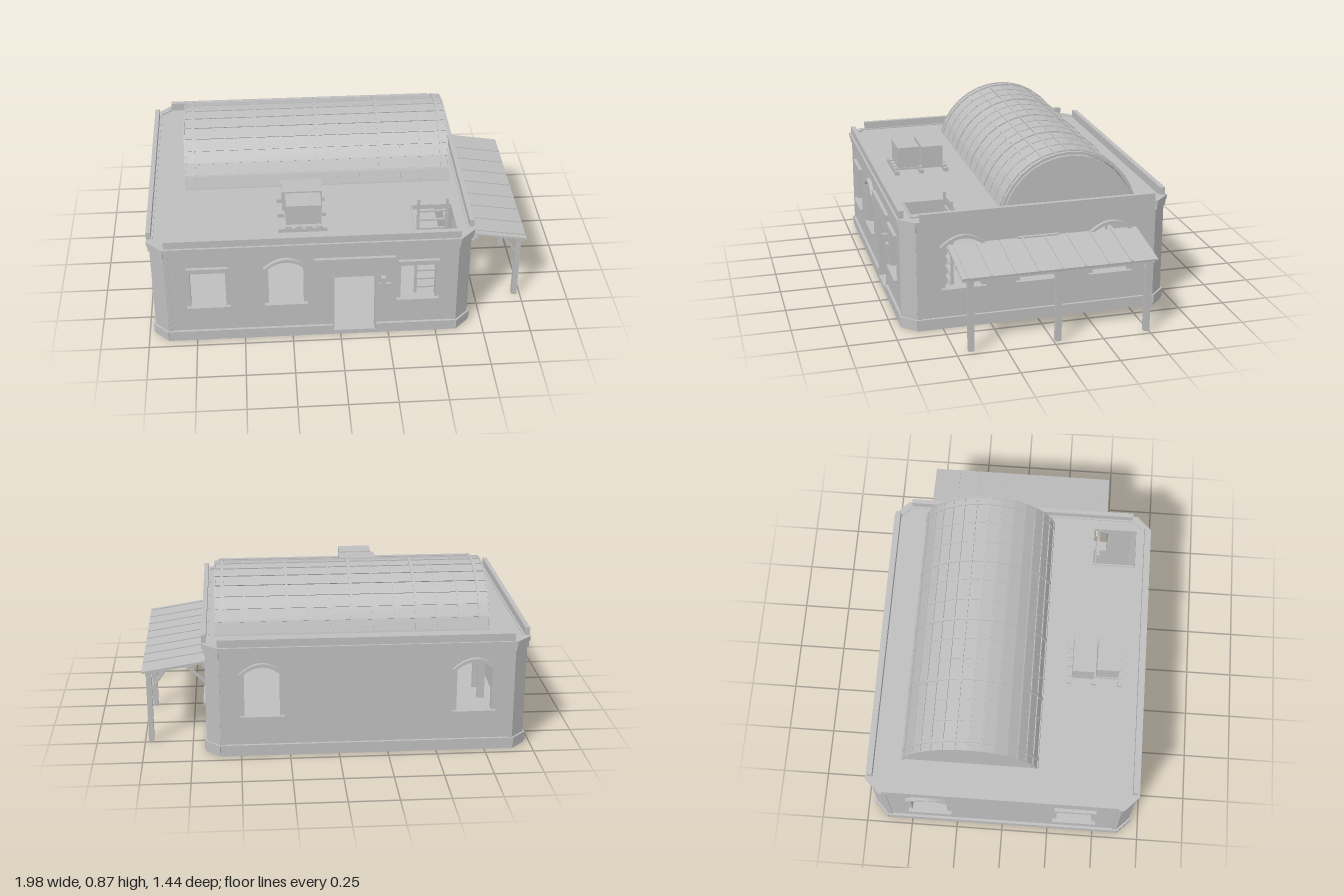
import * as THREE from 'three';

const CX = -0.145, HX = 0.82, HZ = 0.70, CH = 0.07; // body centre, half sizes, corner cut

export function createModel() {
  const root = new THREE.Group();
  root.name = 'building';
  const grey = new THREE.MeshStandardMaterial({ color: 0xbebebe, side: THREE.DoubleSide });
  grey.name = 'plain grey';

  function group(name, parent = root) {
    const g = new THREE.Group();
    g.name = name;
    parent.add(g);
    return g;
  }
  function mesh(name, geo, parent) {
    const m = new THREE.Mesh(geo, grey);
    m.name = name;
    parent.add(m);
    return m;
  }
  // box given by its limits on each axis
  function box(name, parent, x0, x1, y0, y1, z0, z1) {
    const m = mesh(name, new THREE.BoxGeometry(x1 - x0, y1 - y0, z1 - z0), parent);
    m.position.set((x0 + x1) / 2, (y0 + y1) / 2, (z0 + z1) / 2);
    return m;
  }
  // square bar between two points
  function bar(name, parent, a, b, w, h = w) {
    const A = new THREE.Vector3(...a), B = new THREE.Vector3(...b);
    const m = mesh(name, new THREE.BoxGeometry(w, h, A.distanceTo(B)), parent);
    m.position.copy(A).lerp(B, 0.5);
    m.lookAt(B);
    return m;
  }
  // plan of the body with cut corners, grown by e
  function plan(e) {
    const x = HX + e, z = HZ + e, c = CH + e * 0.5;
    const pts = [[-x + c, -z], [x - c, -z], [x, -z + c], [x, z - c], [x - c, z], [-x + c, z], [-x, z - c], [-x, -z + c]];
    return pts.map(([a, b]) => new THREE.Vector2(a + CX, b));
  }
  function slab(name, e, y0, y1, hole, parent) {
    const s = new THREE.Shape(plan(e));
    if (hole) s.holes.push(new THREE.Path(hole));
    const geo = new THREE.ExtrudeGeometry(s, { depth: y1 - y0, bevelEnabled: false });
    geo.rotateX(-Math.PI / 2);
    geo.translate(0, y0, 0);
    return mesh(name, geo, parent);
  }
  const rect = (x0, x1, y0, y1) => [[x0, y0], [x1, y0], [x1, y1], [x0, y1]].map(p => new THREE.Vector2(...p));

  // shell: floor, roof with hatch opening, plinth and cornice rings
  const shell = group('shell');
  slab('floor', 0.005, 0, 0.025, null, shell);
  slab('roof', 0, 0.565, 0.585, rect(0.39, 0.60, -0.635, -0.40), shell);
  slab('topBand', 0.004, 0.535, 0.565, plan(-0.03), shell);
  slab('cornice', 0.014, 0.566, 0.59, plan(-0.02), shell);

  // wall opening outline, with a shallow arch when asked
  function opening(o) {
    const p = new THREE.Path();
    p.moveTo(o.u - o.w, o.y0);
    p.lineTo(o.u + o.w, o.y0);
    p.lineTo(o.u + o.w, o.y1);
    if (o.arch) p.quadraticCurveTo(o.u, o.y1 + 0.075, o.u - o.w, o.y1);
    else p.lineTo(o.u - o.w, o.y1);
    p.closePath();
    return p;
  }
  function wall(name, half, dist, angle, openings) {
    const pivot = group(name);
    pivot.position.set(CX, 0, 0);
    pivot.rotation.y = angle;
    const g = group(name + 'Parts', pivot);
    g.position.z = dist;
    const s = new THREE.Shape(rect(-half, half, 0.02, 0.566));
    openings.forEach(o => s.holes.push(opening(o)));
    const geo = new THREE.ExtrudeGeometry(s, { depth: 0.034, bevelEnabled: false, curveSegments: 10 });
    geo.translate(0, 0, -0.04);
    mesh('wallPanel', geo, g);
    for (const k of [-1, 1]) {
      const a = k * half, b = k * (half - 0.022);
      box('edgeStrip', g, Math.min(a, b), Math.max(a, b), 0.06, 0.536, -0.02, 0);
    }
    // plinth, broken at a door
    const door = openings.find(o => o.door);
    const runs = door ? [[-half, door.u - door.w], [door.u + door.w, half]] : [[-half, half]];
    runs.forEach(([a, b]) => box('plinth', g, a, b, 0.012, 0.06, -0.02, 0.008));
    // trims
    for (const o of openings) {
      const { u, w, y0, y1 } = o;
      if (o.door) {
        for (const k of [-1, 1]) box('doorJamb', g, u + k * w - 0.006, u + k * w + 0.006, 0.025, y1, -0.045, 0.002);
        box('doorHead', g, u - w, u + w, y1 - 0.01, y1 + 0.008, -0.045, 0.002);
        continue;
      }
      box('windowSill', g, u - w - 0.016, u + w + 0.016, y0 - 0.016, y0, -0.04, 0.016);
      for (const k of [-1, 1]) box('windowJamb', g, u + k * w - 0.005, u + k * w + 0.005, y0, y1, -0.045, -0.002);
      if (o.arch) {
        const h = new THREE.Shape(), a = w + 0.02;
        h.moveTo(u - a, y1 - 0.005);
        h.quadraticCurveTo(u, y1 + 0.11, u + a, y1 - 0.005);
        h.lineTo(u + w, y1 - 0.005);
        h.quadraticCurveTo(u, y1 + 0.075, u - w, y1 - 0.005);
        const hg = new THREE.ExtrudeGeometry(h, { depth: 0.02, bevelEnabled: false, curveSegments: 10 });
        hg.translate(0, 0, -0.006);
        mesh('windowArch', hg, g);
      } else box('windowHead', g, u - w - 0.01, u + w + 0.01, y1, y1 + 0.026, -0.04, 0.012);
    }
    return g;
  }
  const win = (u, arch, w = 0.095) => ({ u, w, y0: 0.218, y1: arch ? 0.45 : 0.434, arch });
  const front = wall('frontWall', HX - CH, HZ, 0, [
    win(-0.68 - CX, false), win(-0.28 - CX, true), win(0.40 - CX, false),
    { u: 0.0725 - CX, w: 0.112, y0: 0.025, y1: 0.38, door: true },
  ]);
  wall('backWall', HX - CH, HZ, Math.PI, [win(CX + 0.69, true), win(CX - 0.39, true)]);
  wall('leftWall', HZ - CH, HX, Math.PI / 2, [win(-0.39, true, 0.1), win(0, false, 0.1), win(0.39, true, 0.1)]);
  wall('rightWall', HZ - CH, HX, -Math.PI / 2, [win(-0.39, true, 0.1), win(0.39, false, 0.1)]);

  // sign board and small fittings beside the door
  const u = x => x - CX;
  box('signBoard', front, u(-0.137), u(0.28), 0.405, 0.49, -0.01, 0.012);
  box('signBacking', front, u(-0.11), u(0.275), 0.39, 0.42, -0.01, 0.006);
  box('doorLamp', front, u(0.205), u(0.23), 0.33, 0.365, -0.01, 0.022);
  box('doorPlate', front, u(0.20), u(0.26), 0.25, 0.32, -0.01, 0.008);
  box('doorBracket', front, u(0.21), u(0.222), 0.32, 0.33, -0.01, 0.012);

  // cut corners with pilaster and foot, parapets along each side
  for (const sx of [-1, 1]) for (const sz of [-1, 1]) {
    const g = group('cornerPilaster');
    g.position.set(CX + sx * (HX - CH / 2), 0, sz * (HZ - CH / 2));
    g.rotation.y = Math.atan2(sx, sz);
    box('cornerFace', g, -0.05, 0.05, 0.02, 0.566, -0.035, 0);
    box('cornerFoot', g, -0.055, 0.055, 0.012, 0.06, -0.03, 0.01);
    box('cornerCap', g, -0.054, 0.054, 0.535, 0.567, -0.03, 0.008);
  }
  for (const s of [-1, 1]) {
    const z = s * 0.69, x = CX + s * 0.822;
    box('longParapet', root, -0.89, 0.61, 0.58, 0.63, z - 0.013, z + 0.013);
    box('shortParapet', root, x - 0.012, x + 0.012, 0.58, 0.63, -0.62, 0.61);
  }

  // barrel-vaulted skylight
  const sky = group('skylight');
  sky.position.set(0, 0.50, -0.178);
  const A = 1.31, SEG = 14;
  function arcBand(name, r0, r1, x0, x1, parent = sky) {
    const s = new THREE.Shape();
    const P = (r, i) => { const t = -A + 2 * A * i / SEG; return [r * Math.sin(t), r * Math.cos(t)]; };
    s.moveTo(...P(r1, 0));
    for (let i = 1; i <= SEG; i++) s.lineTo(...P(r1, i));
    if (r0 > 0) for (let i = SEG; i >= 0; i--) s.lineTo(...P(r0, i));
    s.closePath();
    const geo = new THREE.ExtrudeGeometry(s, { depth: x1 - x0, bevelEnabled: false });
    geo.rotateY(Math.PI / 2);
    geo.translate(x0, 0, 0);
    return mesh(name, geo, parent);
  }
  arcBand('vaultPanes', 0.359, 0.364, -0.79, 0.62);
  arcBand('endWall', 0, 0.347, -0.785, -0.765);
  arcBand('endWall', 0, 0.347, 0.595, 0.615);
  for (let i = 0; i < 5; i++) {
    const x = -0.74 + i * 0.33;
    arcBand('mainRib', 0.354, 0.371, x - 0.007, x + 0.007);
    if (i < 4) for (const k of [1, 2]) arcBand('thinRib', 0.357, 0.368, x + k * 0.11 - 0.003, x + k * 0.11 + 0.003);
  }
  for (const x of [-0.79, 0.614]) arcBand('endRib', 0.355, 0.369, x, x + 0.006);
  for (let i = 0; i <= SEG; i++) {
    const t = -A + 2 * A * i / SEG;
    const b = mesh('glazingBar', new THREE.BoxGeometry(1.41, 0.010, 0.008), sky);
    b.position.set(-0.085, 0.364 * Math.cos(t), 0.364 * Math.sin(t));
    b.rotation.x = t;
  }

  // crates on a pallet
  const crates = group('roofCrates');
  for (const z of [0.31, 0.445, 0.58]) box('palletRunner', crates, -0.31, -0.06, 0.585, 0.607, z - 0.012, z + 0.012);
  for (let i = 0; i < 4; i++) box('palletSlat', crates, -0.275 + i * 0.052, -0.24 + i * 0.052, 0.607, 0.617, 0.30, 0.59);
  box('rearCrate', crates, -0.285, -0.08, 0.617, 0.73, 0.325, 0.44);
  box('frontCrate', crates, -0.27, -0.09, 0.617, 0.73, 0.452, 0.57);

  // roof hatch kerb and ladder
  const hatch = group('roofHatch');
  for (const z of [0.398, 0.637]) box('hatchKerb', hatch, 0.385, 0.605, 0.575, 0.592, z - 0.004, z + 0.004);
  for (const x of [0.388, 0.602]) box('hatchKerb', hatch, x - 0.004, x + 0.004, 0.575, 0.592, 0.40, 0.635);
  for (const x of [0.425, 0.575]) box('ladderRail', hatch, x - 0.007, x + 0.007, 0.025, 0.645, 0.42, 0.434);
  for (let i = 0; i < 10; i++) box('ladderRung', hatch, 0.425, 0.575, 0.07 + i * 0.055, 0.08 + i * 0.055, 0.422, 0.432);

  // side canopy on posts
  const canopy = group('canopy');
  const roofY = x => 0.447 - (x - 0.69) * 0.16;
  const z0 = -0.525, z1 = 0.475;
  const sheet = bar('canopySheet', canopy, [0.675, roofY(0.675), -0.025], [1.0, roofY(1), -0.025], z1 - z0, 0.01);
  sheet.name = 'canopySheet';
  for (let i = 0; i < 8; i++) {
    const z = -0.39 + i * 0.119;
    bar('canopyBatten', canopy, [0.68, roofY(0.68) + 0.005, z], [1.0, roofY(1) + 0.005, z], i % 2 ? 0.005 : 0.012, 0.01);
  }
  box('edgeBeam', canopy, 0.953, 0.983, 0.375, 0.396, z0 + 0.01, z1 - 0.01);
  box('wallBeam', canopy, 0.672, 0.692, 0.415, 0.44, z0 + 0.01, z1 - 0.01);
  for (const z of [0.425, -0.02, -0.485]) {
    box('canopyPost', canopy, 0.953, 0.981, 0.005, 0.385, z - 0.015, z + 0.015);
    bar('rafter', canopy, [0.68, roofY(0.68) - 0.012, z], [0.985, roofY(0.985) - 0.012, z], 0.018, 0.016);
    bar('outerBrace', canopy, [0.875, 0.405, z], [0.962, 0.285, z], 0.014);
    bar('innerBrace', canopy, [0.675, 0.325, z], [0.775, 0.42, z], 0.014);
  }

  // furniture seen through the openings
  const inside = group('furniture');
  box('cabinet', inside, -0.355, -0.19, 0.025, 0.35, -0.62, -0.5);
  box('bench', inside, -0.34, -0.2, 0.2, 0.235, -0.5, -0.42);
  box('washstandTop', inside, -0.06, 0.07, 0.175, 0.19, -0.64, -0.5);
  box('washstandBase', inside, -0.04, 0.045, 0.025, 0.175, -0.63, -0.52);
  box('tapStem', inside, 0.02, 0.03, 0.19, 0.29, -0.6, -0.59);
  bar('tapSpout', inside, [0.025, 0.285, -0.595], [-0.02, 0.31, -0.595], 0.012);
  box('sideTable', inside, -0.9, -0.78, 0.235, 0.25, -0.1, 0.1);
  for (const z of [-0.08, 0.08]) box('tableLeg', inside, -0.86, -0.82, 0.025, 0.235, z - 0.01, z + 0.01);
  return root;
}
